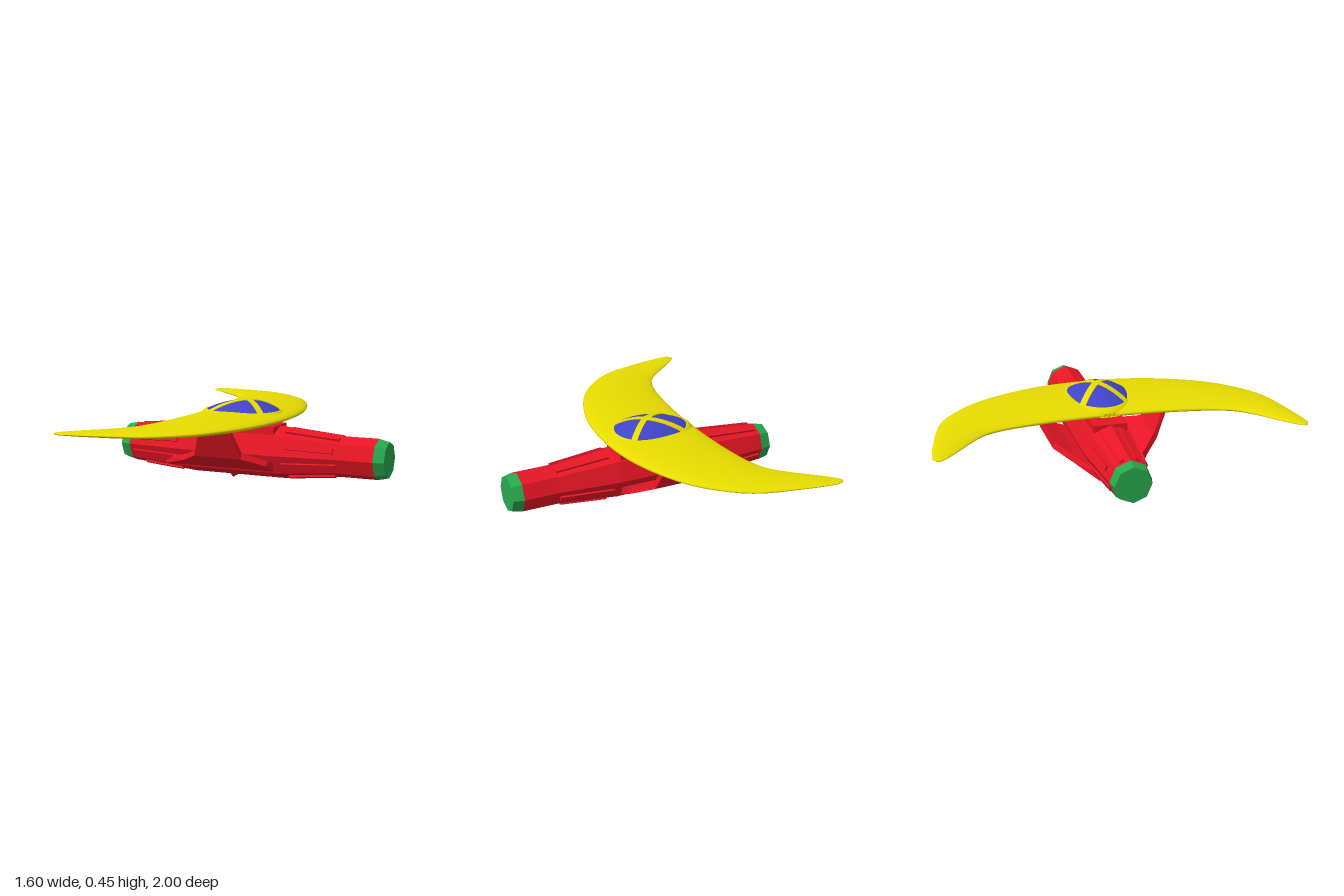
import * as THREE from 'three';

const mat = (name, color, side = THREE.FrontSide) => {
  const m = new THREE.MeshStandardMaterial({ color, side });
  m.name = name;
  return m;
};

// Skin a list of equal-length rings, cap both ends and turn the faces outward
function loft(rings, smooth = false) {
  const n = rings[0].length, last = rings.length - 1, idx = [];
  for (let i = 0; i < last; i++) {
    for (let j = 0; j < n; j++) {
      const a = i * n + j, b = i * n + (j + 1) % n;
      idx.push(a, b, b + n, a, b + n, a + n);
    }
  }
  for (let j = 1; j < n - 1; j++) {
    idx.push(0, j + 1, j, last * n, last * n + j, last * n + j + 1);
  }
  const pts = rings.flat().map(p => new THREE.Vector3(...p));
  const mid = pts.reduce((s, p) => s.add(p), new THREE.Vector3()).divideScalar(pts.length);
  let volume = 0;
  for (let k = 0; k < idx.length; k += 3) {
    const [a, b, c] = [0, 1, 2].map(o => pts[idx[k + o]].clone().sub(mid));
    volume += a.dot(b.cross(c));
  }
  if (volume < 0) idx.reverse();
  let g = new THREE.BufferGeometry().setFromPoints(pts);
  g.setIndex(idx);
  if (!smooth) g = g.toNonIndexed();
  g.computeVertexNormals();
  return g;
}

export function createModel() {
  const model = new THREE.Group();
  model.name = 'spaceship';
  const red = mat('hullRed', 0xf21727);
  const green = mat('engineGreen', 0x28a84e);
  const yellow = mat('wingYellow', 0xebdf00);
  const blue = mat('windowBlue', 0x4044c8, THREE.DoubleSide);
  const add = (name, geometry, material, parent = model) => {
    const mesh = new THREE.Mesh(geometry, material);
    mesh.name = name;
    parent.add(mesh);
  };

  // Octagonal hull running along x, with ridges at top, bottom, front and back
  const axisY = 0.167;
  const octagon = (x, r) => Array.from({ length: 8 }, (_, i) => {
    const a = i * Math.PI / 4;
    return [x, axisY + r * Math.sin(a), r * Math.cos(a)];
  });
  const hull = [[-0.74, 0.112], [-0.36, 0.147], [0.19, 0.147], [0.53, 0.114], [0.74, 0.114]];
  add('hull', loft(hull.map(s => octagon(...s))), red);
  for (const s of [-1, 1]) {
    add(s < 0 ? 'rearEngineCap' : 'frontEngineCap',
      loft([octagon(s * 0.74, 0.114), octagon(s * 0.8, 0.1)]), green);
  }

  // Raised ribs on every facet of both tapers, alternately long and short
  const ribs = new THREE.Group();
  ribs.name = 'hullRibs';
  model.add(ribs);
  const ribRing = (x, r, a, side) => {
    const apothem = r * Math.cos(Math.PI / 8), lo = apothem - 0.01, hi = apothem + 0.012, w = 0.014;
    return [[lo, -w], [hi, -w], [hi, w], [lo, w]].map(([d, t]) => [x,
      axisY + d * Math.sin(a) + t * Math.cos(a), side * (d * Math.cos(a) - t * Math.sin(a))]);
  };
  const rearR = x => 0.112 + (x + 0.74) / 0.38 * 0.035;
  const frontR = x => 0.147 - (x - 0.19) / 0.34 * 0.033;
  const longSpans = [[-0.72, -0.36, rearR], [0.22, 0.53, frontR]];
  const shortSpans = [[-0.66, -0.42, rearR], [0.24, 0.51, frontR]];
  [67.5, 22.5, -22.5, -67.5].forEach((deg, i) => {
    const a = THREE.MathUtils.degToRad(deg);
    for (const side of [-1, 1]) {
      for (const [x0, x1, r] of i % 2 ? shortSpans : longSpans) {
        add('rib', loft([x0, x1].map(x => ribRing(x, r(x), a, side))), red, ribs);
      }
    }
  });

  // Bent struts: [rear x, front x, lower y, lower z, upper y, upper z]
  const strut = [
    [-0.51, 0.17, 0.07, 0.1, 0.115, 0.095],
    [-0.34, 0.165, 0.118, 0.205, 0.148, 0.19],
    [-0.23, 0.05, 0.165, 0.295, 0.195, 0.278],
    [-0.165, 0.02, 0.316, 0.373, 0.327, 0.347],
  ];
  for (const s of [-1, 1]) {
    add(s < 0 ? 'backStrut' : 'frontStrut', loft(strut.map(([x0, x1, yl, zl, yu, zu]) =>
      [[x0, yl, s * zl], [x1, yl, s * zl], [x1, yu, s * zu], [x0, yu, s * zu]])), red);
  }

  // Low saddle on top of the hull, under the wing
  add('saddle', new THREE.BoxGeometry(0.5, 0.07, 0.19).translate(-0.09, 0.284, 0), red);

  // Small keel spike below the hull
  add('keel', loft([
    [[-0.13, 0.04, -0.05], [-0.13, 0.04, 0.05], [-0.13, 0, 0]],
    [[-0.08, 0.045, -0.03], [-0.08, 0.045, 0.03], [-0.08, 0.028, 0]],
  ]), red);

  // Crescent wing: [leading x, leading z, trailing x, trailing z, half thickness]
  const half = [
    [0.222, 0, -0.32, 0, 0.038], [0.205, 0.22, -0.325, 0.2, 0.038],
    [0.162, 0.4, -0.345, 0.42, 0.036], [0.08, 0.6, -0.375, 0.58, 0.031],
    [-0.015, 0.74, -0.42, 0.69, 0.026], [-0.2, 0.893, -0.5, 0.775, 0.02],
    [-0.45, 0.965, -0.6, 0.86, 0.014], [-0.6, 0.993, -0.67, 0.925, 0.009],
    [-0.665, 0.998, -0.7, 0.962, 0.005], [-0.693, 0.985, -0.696, 0.982, 0.001],
  ];
  const stations = [
    ...half.slice(1).reverse().map(([lx, lz, tx, tz, h]) => [lx, -lz, tx, -tz, h]),
    ...half,
  ];
  const curve = f => new THREE.CatmullRomCurve3(stations.map(f));
  const lead = curve(s => new THREE.Vector3(s[0], s[4], s[1]));
  const trail = curve(s => new THREE.Vector3(s[2], s[4], s[3]));
  const wing = [];
  for (let i = 0; i <= 72; i++) {
    const L = lead.getPoint(i / 72), T = trail.getPoint(i / 72);
    wing.push(Array.from({ length: 32 }, (_, j) => {
      const a = j / 32 * Math.PI * 2, k = 0.5 - 0.5 * Math.cos(a);
      return [L.x + (T.x - L.x) * k, 0.362 + L.y * Math.sin(a), L.z + (T.z - L.z) * k];
    }));
  }
  add('wing', loft(wing, true), yellow);

  // Egg-shaped canopy surface over the unit disc (u forward, v sideways)
  const dome = (u, v, lift) => [-0.035 + u * (u < 0 ? 0.28 : 0.205),
    0.375 + 0.074 * (1 - u * u - v * v) + lift, v * 0.195];
  const domeRing = (r, lift) => Array.from({ length: 48 }, (_, j) => {
    const a = j / 48 * Math.PI * 2;
    return dome(r * Math.cos(a), r * Math.sin(a), lift);
  });

  // Mound with a raised rim that sinks into the wing
  const mound = [[1.05, -0.012], [1, 0], [0.95, 0.006], [0.89, 0.007], [0.86, 0]];
  for (let i = 1; i <= 14; i++) mound.push([Math.max(0.86 * (1 - i / 14), 0.001), 0]);
  add('canopyRim', loft(mound.map(s => domeRing(...s)), true), yellow);

  // Two raised bars crossing the canopy diagonally
  const bar = 0.085;
  for (const s of [-1, 1]) {
    const path = Array.from({ length: 21 }, (_, i) => {
      const t = (i / 10 - 1) * 0.93 * Math.SQRT1_2, w = bar * Math.SQRT1_2;
      return [[-w, -0.008], [-w, 0.006], [w, 0.006], [w, -0.008]].map(([o, lift]) =>
        dome(t - s * o, s * t + o, lift));
    });
    add('canopyBar', loft(path), yellow);
  }

  // Four window panes between the bars
  const rMin = bar * Math.SQRT2 * 1.01, rMax = 0.87, N = 14;
  ['leftWindow', 'frontWindow', 'rightWindow', 'backWindow'].forEach((name, q) => {
    const pos = [], idx = [];
    for (let i = 0; i <= N; i++) {
      const r = rMin + (rMax - rMin) * i / N;
      const span = Math.PI / 4 - Math.asin(bar / r);
      for (let j = 0; j <= N; j++) {
        const t = q * Math.PI / 2 + span * (2 * j / N - 1);
        pos.push(...dome(r * Math.cos(t), r * Math.sin(t), 0.002));
        if (i < N && j < N) {
          const a = i * (N + 1) + j, b = a + N + 1;
          idx.push(a, a + 1, b, a + 1, b + 1, b);
        }
      }
    }
    const g = new THREE.BufferGeometry();
    g.setAttribute('position', new THREE.Float32BufferAttribute(pos, 3));
    g.setIndex(idx);
    g.computeVertexNormals();
    add(name, g, blue);
  });

  return model;
}
